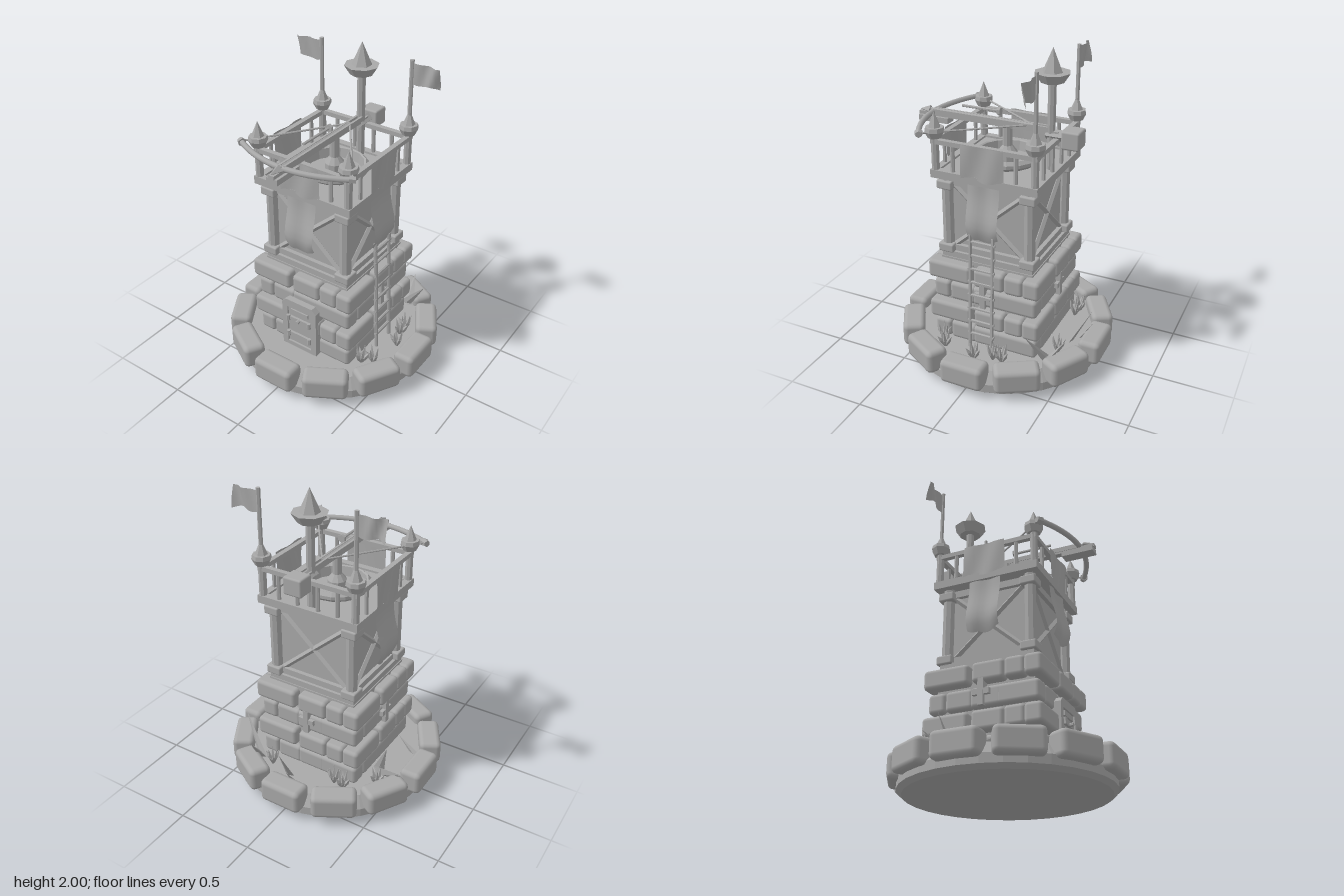
import * as THREE from 'three';
import { RoundedBoxGeometry } from 'three/addons/geometries/RoundedBoxGeometry.js';

const stoneGrey = new THREE.MeshStandardMaterial({ color: 0xa8a8a8, side: THREE.DoubleSide });
stoneGrey.name = 'stoneGrey';
const V = (x, y, z) => new THREE.Vector3(x, y, z);

// Faceted copy of a geometry
function flat(geo) {
  const g = geo.toNonIndexed();
  g.computeVertexNormals();
  return g;
}

function add(parent, name, geo, x = 0, y = 0, z = 0) {
  const m = new THREE.Mesh(geo, stoneGrey);
  m.name = name;
  m.position.set(x, y, z);
  parent.add(m);
  return m;
}

const box = (p, name, w, h, d, x, y, z) => add(p, name, new THREE.BoxGeometry(w, h, d), x, y, z);
const stone = (p, name, w, h, d, x, y, z, r = 0.025) =>
  add(p, name, new RoundedBoxGeometry(w, h, d, 2, r), x, y, z);
const lathe = (p, name, pts, sides, x, y, z) =>
  add(p, name, flat(new THREE.LatheGeometry(pts.map(a => new THREE.Vector2(...a)), sides)), x, y, z);

// Round or square bar between two points, tapering from r0 to r1
function rod(p, name, a, b, r0, r1 = r0, sides = 6) {
  const d = b.clone().sub(a);
  const m = add(p, name, flat(new THREE.CylinderGeometry(r1, r0, d.length(), sides)));
  m.position.copy(a).add(b).multiplyScalar(0.5);
  m.quaternion.setFromUnitVectors(V(0, 1, 0), d.normalize());
  return m;
}

// Hanging cloth: u runs across, t runs from top to bottom, both within 0..1
function cloth(p, name, w, h, x, y, z, rule) {
  const g = new THREE.PlaneGeometry(w, h, 8, 8);
  const pos = g.attributes.position;
  for (let i = 0; i < pos.count; i++) {
    const u = THREE.MathUtils.clamp(pos.getX(i) / w + 0.5, 0, 1);
    const t = THREE.MathUtils.clamp(0.5 - pos.getY(i) / h, 0, 1);
    const [dy, dz] = rule(u, t);
    pos.setY(i, pos.getY(i) + dy);
    pos.setZ(i, dz);
  }
  g.computeVertexNormals();
  return add(p, name, g, x, y, z);
}

function side(parent, name, k) {
  const g = new THREE.Group();
  g.name = name;
  g.rotation.y = k * Math.PI / 2;
  parent.add(g);
  return g;
}

function buildBase(root) {
  lathe(root, 'groundDisc', [[0, 0], [0.6, 0], [0.63, 0.025], [0.63, 0.08], [0.58, 0.15], [0, 0.15]], 32, 0, 0, 0);
  for (let i = 0; i < 12; i++) {
    const a = i * Math.PI / 6;
    const s = stone(root, 'rimStone', 0.28, 0.155, 0.14, Math.sin(a) * 0.612, 0.137, Math.cos(a) * 0.612, 0.032);
    s.rotation.y = a;
  }
}

function buildStoneTower(root) {
  box(root, 'stoneCore', 0.61, 0.58, 0.61, 0, 0.42, 0);
  const rows = [
    [[-0.37, -0.08], [-0.06, 0.14], [0.14, 0.265]],
    [[-0.235, -0.06], [-0.08, 0.12], [0.08, 0.345]],
  ];
  for (let k = 0; k < 4; k++) {
    const g = side(root, 'stoneWall', k);
    for (let r = 0; r < 4; r++) {
      const odd = r % 2, out = odd ? 0.345 : 0.37;
      for (const [a, b] of rows[odd]) {
        stone(g, 'wallStone', b - a, 0.122, 0.11, (a + b) / 2, 0.636 - r * 0.143, out - 0.055);
      }
    }
    if (k > 0) {
      // Cross-shaped arrow slit
      box(g, 'slitUpright', 0.035, 0.16, 0.05, 0, 0.515, 0.345);
      box(g, 'slitBar', 0.105, 0.035, 0.05, 0, 0.515, 0.342);
    }
  }
}

function buildDoor(root) {
  const c = 0.03, s = new THREE.Shape();
  s.moveTo(-0.13, 0.15);
  s.lineTo(0.13, 0.15);
  s.lineTo(0.13, 0.51 - c);
  s.lineTo(0.13 - c, 0.51);
  s.lineTo(-0.13 + c, 0.51);
  s.lineTo(-0.13, 0.51 - c);
  const hole = new THREE.Path();
  hole.setFromPoints([[-0.09, 0.18], [-0.09, 0.455], [0.09, 0.455], [0.09, 0.18]].map(a => new THREE.Vector2(...a)));
  s.holes.push(hole);
  add(root, 'doorFrame', new THREE.ExtrudeGeometry(s, { depth: 0.08, bevelEnabled: false }), 0, 0, 0.305);
  box(root, 'doorPanel', 0.18, 0.275, 0.06, 0, 0.317, 0.342);
  for (const y of [0.25, 0.375]) {
    box(root, 'doorBand', 0.18, 0.022, 0.015, 0, y, 0.38);
    for (const x of [-0.08, 0.08]) rod(root, 'doorHinge', V(x, y - 0.02, 0.39), V(x, y + 0.02, 0.39), 0.013);
  }
  rod(root, 'doorKnob', V(0, 0.375, 0.38), V(0, 0.375, 0.41), 0.012);
  box(root, 'doorPeephole', 0.13, 0.03, 0.012, 0, 0.43, 0.378);
}

function buildTimberStorey(root) {
  box(root, 'timberFloor', 0.6, 0.05, 0.6, 0, 0.725, 0);
  box(root, 'timberPanels', 0.51, 0.5, 0.51, 0, 0.995, 0);
  for (const x of [-0.268, 0.268]) for (const z of [-0.268, 0.268]) {
    rod(root, 'cornerPost', V(x, 0.74, z), V(x, 1.25, z), 0.036, 0.036, 8);
    stone(root, 'postFoot', 0.1, 0.055, 0.1, x, 0.772, z, 0.01);
    stone(root, 'postCap', 0.1, 0.055, 0.1, x, 1.19, z, 0.01);
  }
  for (let k = 0; k < 4; k++) {
    const g = side(root, 'timberFrame', k);
    for (const y of [0.77, 1.205]) box(g, 'crossBeam', 0.52, 0.04, 0.04, 0, y, 0.262);
    for (const s of [-1, 1]) rod(g, 'diagonalBrace', V(-0.23 * s, 0.78, 0.262), V(0.23 * s, 1.19, 0.262), 0.017, 0.017, 4);
  }
}

function buildPlatform(root) {
  box(root, 'platformFloor', 0.62, 0.03, 0.62, 0, 1.262, 0);
  lathe(root, 'turntablePost', [[0.045, 1.24], [0.06, 1.29], [0.06, 1.34], [0.03, 1.38], [0.03, 1.51]], 10, 0, 0, 0);
  lathe(root, 'turntableRing', [[0.17, 1.28], [0.18, 1.34], [0.19, 1.345], [0.21, 1.325], [0.21, 1.305], [0.18, 1.28]], 16, 0, 0, 0);
  for (let k = 0; k < 4; k++) {
    const g = side(root, 'railing', k);
    box(g, 'platformBeam', 0.68, 0.05, 0.045, 0, 1.265, 0.318);
    box(g, 'topRail', 0.67, 0.028, 0.032, 0, 1.464, 0.318);
    const xs = k === 2 ? [-0.2, -0.07, 0.07, 0.2] : [-0.2, 0.2];
    for (const x of xs) rod(g, 'baluster', V(x, 1.28, 0.318), V(x, 1.46, 0.318), 0.013);
    if (k !== 2) {
      cloth(g, 'railBanner', 0.27, 0.205, 0, 1.377, 0.345, (u, t) =>
        [t * 0.012 * Math.sin(u * 8), 0.006 * Math.sin(u * 9 + t * 2)]);
      cloth(g, 'wallBanner', 0.205, 0.33, 0, 1.075, 0.325, (u, t) =>
        [-t * t * (0.03 * (1 - Math.abs(2 * u - 1)) + 0.008 * Math.sin(u * 11)),
          0.042 * Math.sin(Math.PI * t * t * 0.85) + 0.007 * Math.sin(u * 8)]);
    }
  }
  for (const x of [-0.315, 0.315]) for (const z of [-0.315, 0.315]) {
    rod(root, 'railPost', V(x, 1.25, z), V(x, 1.5, z), 0.024, 0.024, 8);
    lathe(root, 'postCup', [[0, 1.485], [0.04, 1.485], [0.06, 1.525], [0.055, 1.55], [0, 1.55]], 8, x, 0, z);
    rod(root, 'postSpike', V(x, 1.55, z), V(x, 1.64, z), 0.038, 0.001);
    if (z < 0) {
      const s = Math.sign(x);
      rod(root, 'flagPole', V(x, 1.55, z), V(x, 1.95, z), 0.013);
      cloth(root, 'flag', 0.17, 0.125, x + s * 0.095, 1.868, z, (u, t) => {
        const o = s > 0 ? u : 1 - u;
        return [-0.008 * Math.sin(o * 7) * t, o * 0.02 * Math.sin(o * 9 + t * 2)];
      });
    }
  }
  // Tall rear mast
  rod(root, 'mast', V(0, 1.27, -0.278), V(0, 1.82, -0.278), 0.026, 0.026, 8);
  lathe(root, 'mastCup', [[0, 1.805], [0.07, 1.805], [0.107, 1.862], [0, 1.862]], 8, 0, 0, -0.278);
  rod(root, 'mastSpike', V(0, 1.86, -0.278), V(0, 2, -0.278), 0.062, 0.001);
}

function buildBallista(root) {
  const g = new THREE.Group();
  g.name = 'ballista';
  root.add(g);
  for (const x of [-0.016, 0.016]) box(g, 'stockRail', 0.014, 0.03, 0.78, x, 1.522, 0.11);
  box(g, 'stock', 0.04, 0.022, 0.92, 0, 1.505, 0.13);
  box(g, 'noseBlock', 0.075, 0.035, 0.2, 0, 1.478, 0.485);
  stone(g, 'counterweight', 0.12, 0.11, 0.11, 0, 1.485, -0.415, 0.012);
  rod(g, 'counterweightArm', V(0, 1.49, -0.37), V(0, 1.49, -0.25), 0.035, 0.035, 4);
  const curve = new THREE.QuadraticBezierCurve3(V(-0.385, 1.52, 0.38), V(0, 1.52, 0.61), V(0.385, 1.52, 0.38));
  add(g, 'bow', new THREE.TubeGeometry(curve, 20, 0.017, 8, false));
  for (const s of [-1, 1]) {
    rod(g, 'bowTip', V(0.37 * s, 1.52, 0.388), V(0.4 * s, 1.52, 0.37), 0.026, 0.02);
    rod(g, 'bowString', V(0.385 * s, 1.522, 0.38), V(0, 1.53, -0.16), 0.006);
  }
  rod(g, 'bolt', V(0, 1.53, -0.16), V(0, 1.53, 0.53), 0.009);
  rod(g, 'boltHead', V(0, 1.522, 0.52), V(0, 1.522, 0.59), 0.03, 0.001, 4);
  rod(g, 'spareBolt', V(0, 1.582, 0.3), V(0, 1.582, 0.05), 0.009);
  rod(g, 'spareBoltNock', V(0, 1.582, 0.062), V(0, 1.582, 0.044), 0.025);
}

function buildLadder(root) {
  const x = y => 0.385 - (y - 0.15) * 0.04;
  for (const z of [-0.07, 0.078]) rod(root, 'ladderRail', V(x(0.15), 0.15, z), V(x(0.93), 0.93, z), 0.012);
  for (let i = 0; i < 8; i++) {
    const y = 0.25 + i * 0.09;
    rod(root, 'ladderRung', V(x(y), y, -0.085), V(x(y), y, 0.092), 0.01);
  }
}

function buildPlants(root) {
  const tufts = [[-0.29, -0.4], [-0.22, -0.39], [-0.45, -0.26], [0.21, -0.44], [0.45, -0.17],
    [0.45, -0.11], [0.49, 0], [0.39, 0.26], [0.45, 0.22]];
  tufts.forEach(([x, z], n) => {
    for (let i = 0; i < 6; i++) {
      const a = i * Math.PI / 3 + n, r = i % 2 ? 0.05 : 0.03;
      const mid = V(x + Math.cos(a) * r * 0.6, 0.2, z + Math.sin(a) * r * 0.6);
      rod(root, 'grassBlade', V(x, 0.14, z), mid, 0.004, 0.013, 4);
      rod(root, 'grassTip', mid, V(x + Math.cos(a) * r, i % 2 ? 0.235 : 0.27, z + Math.sin(a) * r), 0.013, 0.001, 4);
    }
  });
  // Tall leaves: base x, z, tip x, y, z, half width
  const leaves = [[-0.39, -0.13, -0.48, 0.39, -0.2, 0.04], [-0.4, -0.14, -0.6, 0.25, -0.22, 0.06],
    [-0.54, 0.12, -0.39, 0.24, 0.14, 0.03], [0.3, -0.42, 0.48, 0.39, -0.34, 0.035],
    [0.33, -0.4, 0.31, 0.32, -0.53, 0.05], [0.06, -0.46, 0.04, 0.39, -0.6, 0.035],
    [0, -0.5, 0, 0.27, -0.59, 0.03]];
  for (const [x, z, tx, ty, tz, w] of leaves) {
    const m = rod(root, 'tallLeaf', V(x, 0.13, z), V(tx, ty, tz), w, 0.001, 4);
    m.scale.z = 0.4;
  }
}

export function createModel() {
  const root = new THREE.Group();
  root.name = 'watchtower';
  for (const build of [buildBase, buildStoneTower, buildDoor, buildTimberStorey, buildPlatform,
    buildBallista, buildLadder, buildPlants]) build(root);
  return root;
}
